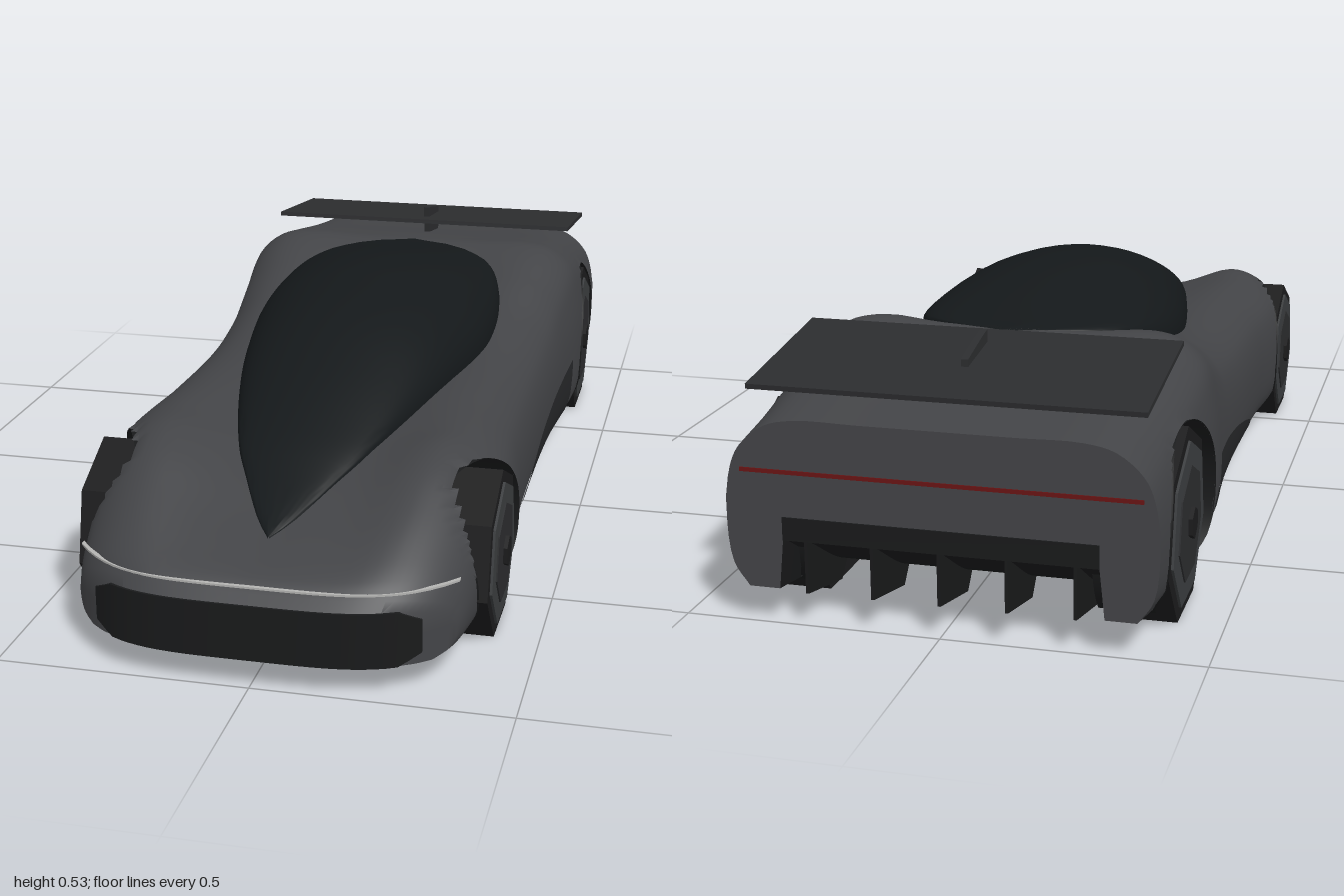
import * as THREE from 'three';
import { toCreasedNormals } from 'three/addons/utils/BufferGeometryUtils.js';

const mat = (color, side = THREE.FrontSide) => new THREE.MeshStandardMaterial({ color, side });
const paint = mat(0x434447);
const glass = mat(0x14181a, THREE.DoubleSide);
const dark = mat(0x191a1b, THREE.DoubleSide);
const panel = mat(0x2c2d2f);
const rubber = mat(0x1c1c1d);
const metal = mat(0x3c3e40);

// Body stations: z, half width, sill y, floor y, shoulder y, centre top y
const STATIONS = [
  [1, .37, .06, .06, .17, .17], [.97, .38, .055, .055, .205, .2], [.9, .39, .05, .05, .25, .225],
  [.8, .4, .045, .045, .3, .25], [.7, .405, .04, .04, .34, .275], [.6, .412, .04, .04, .36, .295],
  [.5, .42, .04, .04, .36, .31], [.3, .405, .04, .04, .36, .33], [0, .4, .04, .04, .362, .34],
  [-.2, .405, .04, .04, .39, .36], [-.35, .415, .04, .04, .435, .4], [-.5, .428, .04, .04, .475, .463],
  [-.6, .43, .04, .04, .462, .46], [-.8, .42, .04, .06, .428, .428], [-1, .41, .07, .17, .4, .4],
];
// Canopy stations: z, half width, ridge y
const CANOPY = [
  [.85, .001, .24], [.8, .035, .262], [.7, .085, .305], [.6, .13, .35], [.4, .19, .43], [.2, .235, .495],
  [0, .268, .525], [-.1, .274, .527], [-.2, .27, .52], [-.3, .253, .505], [-.4, .215, .487],
  [-.46, .16, .477], [-.5, .095, .471], [-.53, .001, .466],
];
const WHEELS = [
  { name: 'front', z: .62, y: .163, arch: .17, r: .17, hubY: .154 },
  { name: 'rear', z: -.74, y: .175, arch: .192, r: .19, hubY: .172 },
];
const INNER = .27;

// Smooth interpolation of a table whose first column falls
function sample(table, z) {
  let i = 0;
  while (i < table.length - 2 && z < table[i + 1][0]) i++;
  const p = table[i], q = table[i + 1], d = q[0] - p[0];
  const o = table[Math.max(i - 1, 0)], n = table[Math.min(i + 2, table.length - 1)];
  const t = THREE.MathUtils.clamp((z - p[0]) / d, 0, 1), t2 = t * t, t3 = t2 * t;
  return p.map((v, k) => (2 * t3 - 3 * t2 + 1) * v + (3 * t2 - 2 * t3) * q[k]
    + (t3 - 2 * t2 + t) * d * (q[k] - o[k]) / (q[0] - o[0])
    + (t3 - t2) * d * (n[k] - v) / (n[0] - p[0]));
}

// Rounds the nose in plan
const sweep = (s, x) => .16 * Math.max(0, (s - .6) / .4) * Math.pow(Math.abs(x) / .4, 4);

// Half cross-section, from the floor centre round the side to the top centre
function halfSection([, w, yb, yf, ys, yc]) {
  const h = ys - yb, k = Math.min(1, h / .36);
  const pts = [0, .1, .2, INNER, .3].map(x => [x, yf]);
  pts.push([.31, yb], [w - .04, yb]);
  const curve = new THREE.CatmullRomCurve3([
    [w - .04, yb], [w - .01, yb + .05 * k], [w, yb + .45 * h], [w - .01, yb + .7 * h], [w - .03, ys - .06 * k],
    [w - .08, ys - .015 * k], [w - .14, ys], [.15, yc + .4 * (ys - yc)], [0, yc],
  ].map(([x, y]) => new THREE.Vector3(x, y, 0)));
  for (let i = 1; i <= 32; i++) { const p = curve.getPoint(i / 32); pts.push([p.x, p.y]); }
  return pts;
}

// Body surface look-ups: side x at a height, and top y at a width
function sideX(z, y) {
  let s = z;
  for (let i = 0; i < 4; i++) s = z + sweep(s, .39);
  const pts = halfSection(sample(STATIONS, s));
  for (let i = 6; i < pts.length - 1; i++) {
    const [a, b] = [pts[i], pts[i + 1]];
    if (y <= b[1]) return THREE.MathUtils.lerp(a[0], b[0], THREE.MathUtils.clamp((y - a[1]) / (b[1] - a[1]), 0, 1));
  }
  return .3;
}
function topY(z, x) {
  const pts = halfSection(sample(STATIONS, z));
  let i = pts.length - 1;
  while (pts[i - 1][0] < x) i--;
  const [a, b] = [pts[i], pts[i - 1]];
  return THREE.MathUtils.lerp(a[1], b[1], (x - a[0]) / (b[0] - a[0]));
}

// Joins rows of points into a surface; keep() can leave out triangles
function loft(rows, keep = () => true, crease = .6) {
  const pos = [];
  const tri = (i, j, ...t) => { if (keep(i, j, t)) t.forEach(p => pos.push(...p)); };
  for (let i = 0; i < rows.length - 1; i++) for (let j = 0; j < rows[i].length - 1; j++) {
    const a = rows[i][j], b = rows[i][j + 1], c = rows[i + 1][j + 1], d = rows[i + 1][j];
    tri(i, j, a, d, b);
    tri(i, j, b, d, c);
  }
  const g = new THREE.BufferGeometry();
  g.setAttribute('position', new THREE.Float32BufferAttribute(pos, 3));
  return toCreasedNormals(g, crease);
}

function reshape(g, rule) {
  const p = g.attributes.position, v = new THREE.Vector3();
  for (let i = 0; i < p.count; i++) { rule(v.fromBufferAttribute(p, i)); p.setXYZ(i, v.x, v.y, v.z); }
  g.computeVertexNormals();
  return g;
}

export function createModel() {
  const model = new THREE.Group();
  const add = (name, geo, material, parent = model) => {
    const m = new THREE.Mesh(geo, material);
    m.name = name;
    parent.add(m);
    return m;
  };

  // Body shell with wheel arches cut out, and the dark floor
  const N = 140, stations = [];
  for (let i = 0; i <= N; i++) stations.push(sample(STATIONS, 1 - 2 * i / N));
  stations.unshift([1, .37, .12, .12, .12, .12]);
  stations.push([-1, .41, .25, .25, .25, .25]);
  const rows = stations.map(st => {
    const half = halfSection(st);
    const ring = half.concat(half.slice(0, -1).reverse().map(([x, y]) => [-x, y]));
    return ring.map(([x, y]) => {
      let z = st[0] - sweep(st[0], x);
      for (const w of WHEELS) {
        const d = Math.hypot(z - w.z, y - w.y);
        if (Math.abs(x) > .31 && y > .06 && Math.abs(d - w.arch) < .008) {
          z = w.z + (z - w.z) * w.arch / d;
          y = w.y + (y - w.y) * w.arch / d;
        }
      }
      return [x, y, z];
    });
  });
  const last = rows[0].length - 1;
  const isFloor = (i, j) => i > 0 && i < rows.length - 2 && (j < 6 || j >= last - 6);
  const outsideArch = t => {
    const [x, y, z] = [0, 1, 2].map(k => (t[0][k] + t[1][k] + t[2][k]) / 3);
    return Math.abs(x) < INNER || WHEELS.every(w => Math.hypot(z - w.z, y - w.y) > w.arch);
  };
  add('body', loft(rows, (i, j, t) => !isFloor(i, j) && outsideArch(t)), paint);
  add('floor', loft(rows, (i, j, t) => isFloor(i, j) && outsideArch(t)), dark);

  // Teardrop canopy seated on the body
  const dome = [];
  for (let i = 0; i <= 48; i++) {
    const [z, c, top] = sample(CANOPY, .85 - 1.38 * i / 48), w = Math.max(c, .001);
    const edge = topY(z, w), row = [[w, edge - .015, z]];
    for (let j = 0; j <= 24; j++) {
      const a = Math.PI * j / 24;
      row.push([w * Math.cos(a), edge + Math.max(top - edge, .003) * Math.sin(a), z]);
    }
    row.push([-w, edge - .015, z]);
    dome.push(row);
  }
  add('canopy', loft(dome, undefined, 1), glass);

  // Nose intake and light strip, bent round the nose
  const bent = (w, h, d, y, z) => reshape(new THREE.BoxGeometry(w, h, d, 32, 1, 1), v => {
    v.z += z - sweep(1, v.x);
    v.y += y;
  });
  const intake = bent(.63, .11, .03, .115, .99);
  add('frontIntake', toCreasedNormals(reshape(intake, v => {
    v.y = .115 + (v.y - .115) * (1 - .4 * Math.max(0, (Math.abs(v.x) - .275) / .04));
  }), .5), dark);
  add('noseStrip', bent(.74, .004, .012, .196, .975), mat(0xb4b4b2));

  for (const side of [1, -1]) {
    const label = side > 0 ? 'left' : 'right';
    for (const w of WHEELS) {
      // Arch liner and its inner wall
      const liner = new THREE.CylinderGeometry(w.arch, w.arch, 1, 48, 1, true, -Math.PI / 4, Math.PI * 1.5);
      liner.rotateZ(Math.PI / 2);
      reshape(liner, v => {
        const outer = v.x > 0;
        v.y += w.y;
        v.z += w.z;
        v.x = side * (outer ? sideX(v.z, v.y) + .003 : INNER);
      });
      add(label + w.name + 'ArchLiner', liner, dark);
      const wall = new THREE.CircleGeometry(w.arch, 32, -Math.PI / 4, Math.PI * 1.5).rotateY(Math.PI / 2);
      add(label + w.name + 'ArchWall', wall, dark).position.set(side * INNER, w.y, w.z);

      // Seven-sided wheel with rim disc and hub
      const wheel = new THREE.Group();
      wheel.name = label + w.name + 'Wheel';
      wheel.position.set(side * .345, w.hubY, w.z);
      const disc = (name, r, x, depth, n, m) => {
        const g = new THREE.CylinderGeometry(r, r, depth, n, 1, false, Math.PI / 2).rotateZ(Math.PI / 2);
        add(name, toCreasedNormals(g, .5), m, wheel).position.x = side * x;
      };
      disc('tyre', w.r, 0, .13, 7, rubber);
      disc('rim', w.r * .85, .06, .02, 7, metal);
      disc('rimCentre', w.r * .6, .066, .014, 7, panel);
      disc('hub', .032, .072, .018, 6, rubber);
      model.add(wheel);
    }
    // Side intake, a wedge tapering forward
    const inlet = reshape(new THREE.PlaneGeometry(1, 1, 24, 6), v => {
      const t = v.x + .5, z = .2 - .63 * t, y = .075 + (v.y + .5) * .135 * Math.pow(t, .6);
      v.set(side * (sideX(z, y) + .003), y, z);
    });
    add(label + 'SideIntake', inlet, mat(0x27282a, THREE.DoubleSide));
  }

  // Rear wing on a centre strut
  const wing = add('rearWing', new THREE.BoxGeometry(.755, .01, .34), panel);
  wing.position.set(0, .469, -.795);
  wing.rotation.x = -.125;
  const plate = (name, pts, x, t, m) => {
    const g = new THREE.ExtrudeGeometry(new THREE.Shape(pts.map(([z, y]) => new THREE.Vector2(-z, y))),
      { depth: t, bevelEnabled: false });
    add(name, g.translate(0, 0, -t / 2).rotateY(Math.PI / 2), m).position.x = x;
  };
  plate('wingStrut', [[-.69, .512], [-.73, .505], [-.82, .485], [-.82, .425], [-.7, .43]], 0, .014, panel);

  // Tail light, rear vent and diffuser fins
  add('tailLight', new THREE.BoxGeometry(.76, .008, .008), mat(0x6a1414)).position.set(0, .3, -.998);
  add('rearVent', new THREE.BoxGeometry(.6, .045, .01), dark).position.set(0, .19, -.998);
  for (let i = -2; i <= 2; i++)
    plate('diffuserFin', [[-.8, .06], [-.83, .027], [-1, .065], [-1, .175]], i * .128, .006, dark);

  return model;
}
